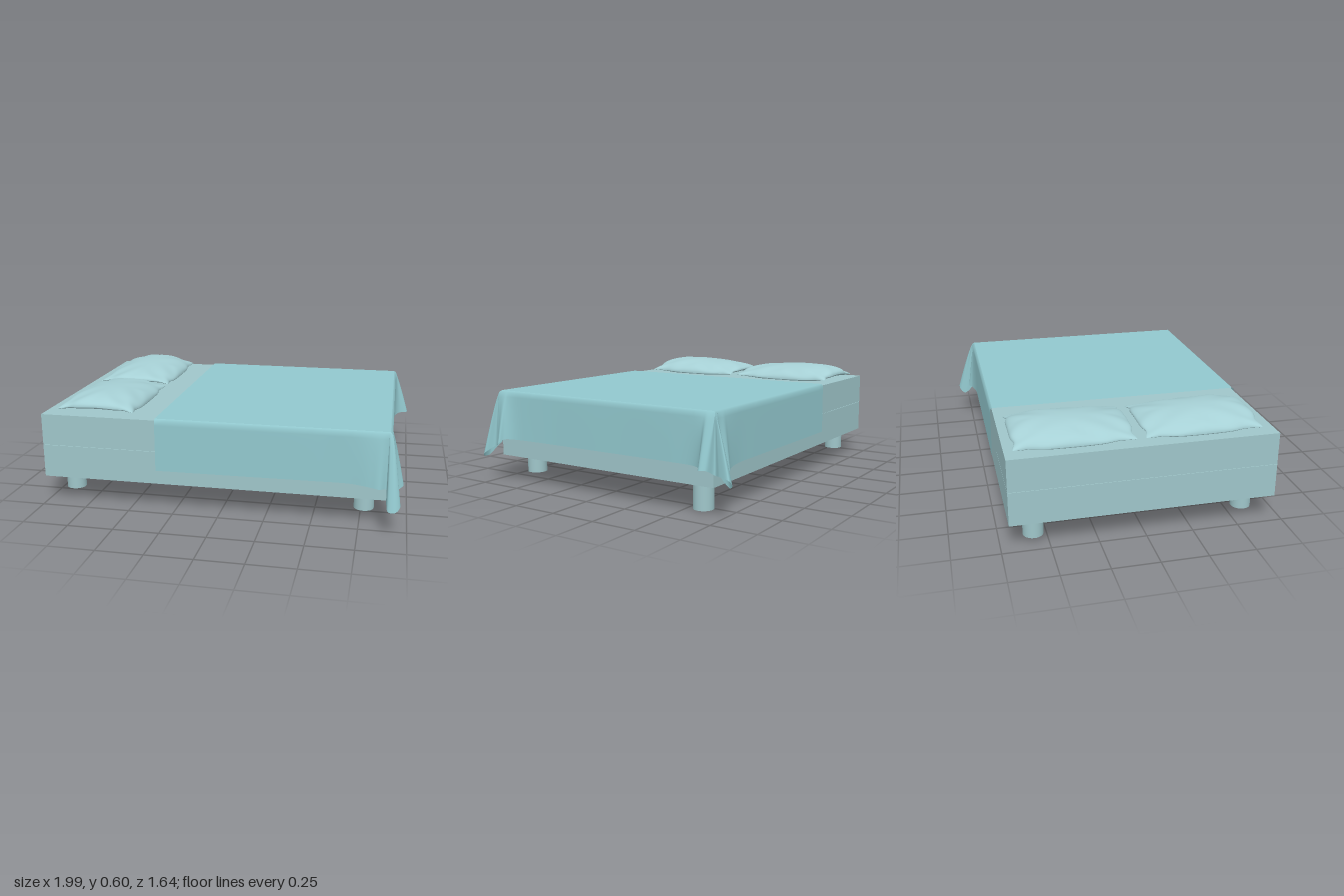
import * as THREE from 'three';

const mat = (color, side = THREE.FrontSide) => new THREE.MeshStandardMaterial({ color, side });

function add(parent, name, geometry, material, x = 0, y = 0, z = 0) {
  const mesh = new THREE.Mesh(geometry, material);
  mesh.name = name;
  mesh.position.set(x, y, z);
  parent.add(mesh);
  return mesh;
}

// Half of a stuffed cushion: side 1 is the upper shell, -1 the lower shell
function pillowShell(side) {
  const geo = new THREE.PlaneGeometry(2, 2, 40, 48).rotateX(-side * Math.PI / 2);
  const p = geo.attributes.position;
  const notch = t => 0.06 * Math.exp(-(((Math.abs(t) - 0.72) / 0.16) ** 2));
  for (let i = 0; i < p.count; i++) {
    // cluster the rows towards the seam
    const u = Math.sin(p.getX(i) * Math.PI / 2), v = Math.sin(p.getZ(i) * Math.PI / 2);
    const fill = Math.pow(Math.max(0, (1 - u * u) * (1 - v * v)), 0.45);
    // creases running in from the four corners
    const crease = 0.006 * Math.sin(9 * (Math.abs(u) - Math.abs(v))) * fill * (u * u + v * v);
    const seam = 0.005 + 0.02 * (1 - u * u) + 0.008 * v * v;
    const y = side > 0 ? seam + 0.065 * fill * (1 + 0.2 * v) + crease : seam - 0.03 * fill;
    p.setXYZ(i, 0.22 * u * (1 - notch(v)), y, 0.313 * v * (1 - notch(u) * 0.8));
  }
  geo.computeVertexNormals();
  return geo;
}

// Hem points [x, z, y] going round each foot corner, z given as distance from the middle
const FRONT_HEM = [
  [-0.35, 0.711, 0.23], [0.1, 0.711, 0.232], [0.5, 0.712, 0.235], [0.7, 0.714, 0.235],
  [0.8, 0.735, 0.23], [0.85, 0.745, 0.225], [0.885, 0.722, 0.22], [0.888, 0.78, 0.17],
  [0.9, 0.815, 0.135], [0.935, 0.818, 0.135], [0.96, 0.785, 0.16], [0.925, 0.735, 0.2],
  [0.94, 0.7, 0.21], [0.972, 0.66, 0.23], [0.945, 0.64, 0.25], [0.918, 0.59, 0.25], [0.908, 0.45, 0.25],
];
const BACK_HEM = [
  [-0.35, 0.721, 0.23], [0.1, 0.721, 0.232], [0.5, 0.722, 0.235], [0.7, 0.725, 0.235],
  [0.8, 0.742, 0.23], [0.84, 0.762, 0.23], [0.88, 0.73, 0.22], [0.89, 0.79, 0.16],
  [0.915, 0.82, 0.18], [0.95, 0.82, 0.21], [0.94, 0.765, 0.22], [0.925, 0.73, 0.22],
  [0.98, 0.712, 0.25], [0.992, 0.68, 0.25], [0.945, 0.65, 0.25], [0.918, 0.6, 0.25], [0.908, 0.45, 0.25],
];
const EDGE = { x: 0.904, front: 0.708, back: -0.718, top: 0.521 };

// Hanging cloth: columns fall from the mattress edge to a curve along the hem
function skirtGeometry() {
  const hem = [
    ...FRONT_HEM.map(([x, z, y]) => new THREE.Vector3(x, y, z)),
    new THREE.Vector3(0.906, 0.25, 0),
    ...BACK_HEM.slice().reverse().map(([x, z, y]) => new THREE.Vector3(x, y, -z)),
  ];
  const columns = new THREE.CatmullRomCurve3(hem, false, 'centripetal').getPoints((hem.length - 1) * 8);
  const rows = 12, pos = [], index = [];
  columns.forEach((q, i) => {
    const clampTo = inset => [
      Math.min(q.x, EDGE.x - inset),
      THREE.MathUtils.clamp(q.z, EDGE.back + inset, EDGE.front - inset),
    ];
    const [ix, iz] = clampTo(0.012), [ex, ez] = clampTo(0);
    pos.push(ix, EDGE.top, iz);
    for (let j = 0; j < rows; j++) {
      const t = j / (rows - 1), f = Math.pow(t, 0.85);
      pos.push(ex + (q.x - ex) * f, EDGE.top - 0.01 + (q.y - EDGE.top + 0.01) * t, ez + (q.z - ez) * f);
    }
    if (i === 0) return;
    for (let j = 0; j < rows; j++) {
      const a = (i - 1) * (rows + 1) + j, d = a + rows + 1;
      index.push(a, a + 1, d, a + 1, d + 1, d);
    }
  });
  const geo = new THREE.BufferGeometry();
  geo.setAttribute('position', new THREE.Float32BufferAttribute(pos, 3));
  geo.setIndex(index);
  geo.computeVertexNormals();
  return geo;
}

export function createModel() {
  const bed = new THREE.Group();
  bed.name = 'bed';
  const frame = mat(0x9fc6ca), cloth = mat(0x92c8ce, THREE.DoubleSide), cushion = mat(0xa6d0d5, THREE.DoubleSide);

  // Base and mattress, with a fine seam between them
  add(bed, 'base', new THREE.BoxGeometry(1.9, 0.183, 1.405), frame, -0.05, 0.2415, -0.005);
  add(bed, 'mattress', new THREE.BoxGeometry(1.9, 0.175, 1.405), frame, -0.05, 0.4225, -0.005);

  // Round feet of slightly different lengths: [x, z, bottom]
  for (const [x, z, y] of [[-0.875, 0.56, 0.05], [0.77, 0.56, 0.048], [0.775, -0.575, 0], [-0.885, -0.575, 0.03]]) {
    const height = 0.155 - y;
    add(bed, 'foot', new THREE.CylinderGeometry(0.054, 0.054, height, 32), frame, x, y + height / 2, z);
  }

  // Blanket: flat top and draped skirt with gathered corners
  const blanket = new THREE.Group();
  blanket.name = 'blanket';
  const x1 = EDGE.x - 0.012, z0 = EDGE.back + 0.012, z1 = EDGE.front - 0.012;
  add(blanket, 'blanketTop', new THREE.PlaneGeometry(x1 + 0.35, z1 - z0).rotateX(-Math.PI / 2), cloth,
    (x1 - 0.35) / 2, EDGE.top, (z0 + z1) / 2);
  add(blanket, 'blanketSkirt', skirtGeometry(), cloth);
  bed.add(blanket);

  // Two pillows, plumper towards the outer sides
  for (const [name, z, turn] of [['frontPillow', 0.317, 0], ['backPillow', -0.353, Math.PI]]) {
    const pillow = new THREE.Group();
    pillow.name = name;
    for (const side of [1, -1]) add(pillow, side > 0 ? 'pillowTop' : 'pillowUnderside', pillowShell(side), cushion);
    pillow.position.set(-0.715, 0.511, z);
    pillow.rotation.y = turn;
    bed.add(pillow);
  }
  return bed;
}
